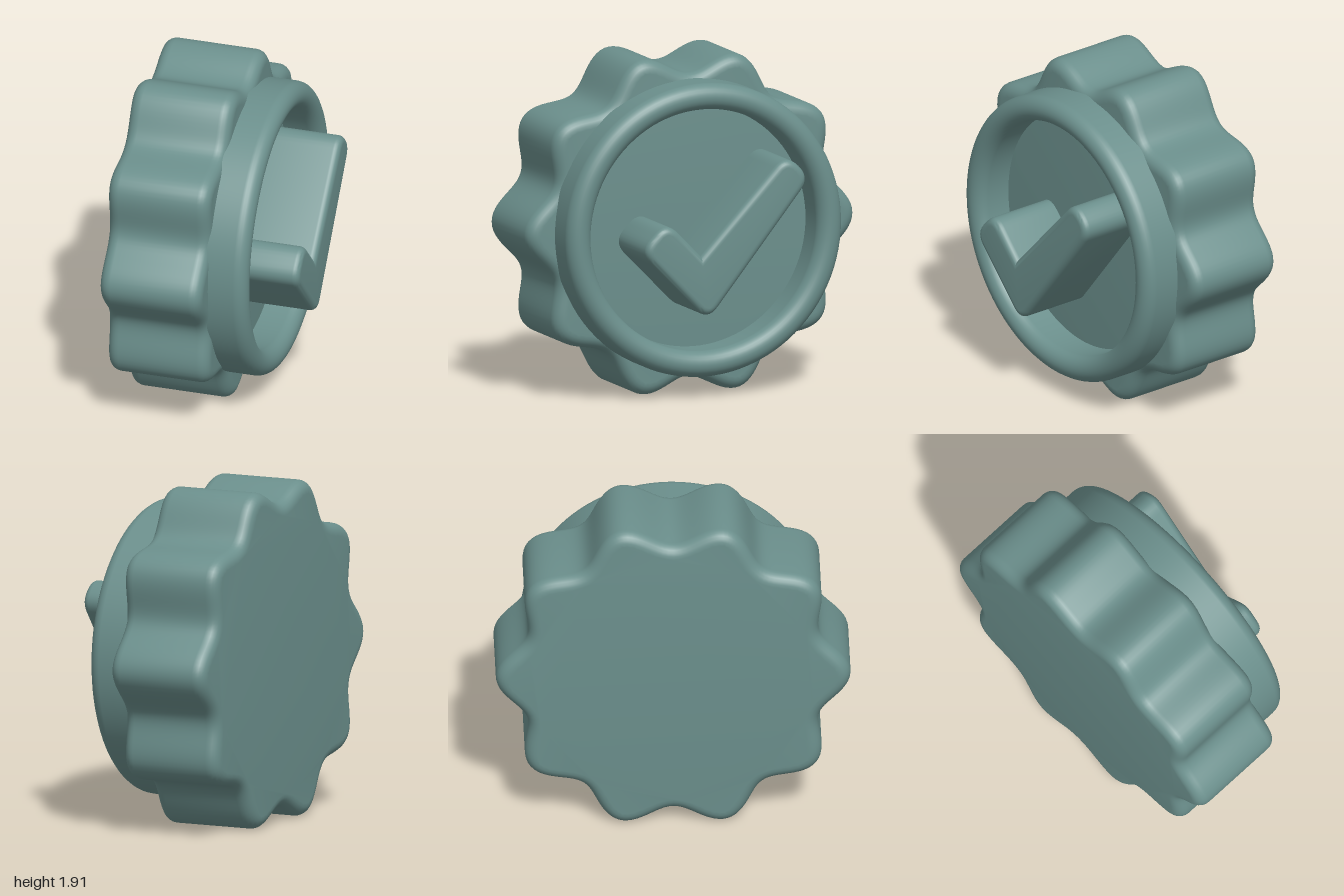
import * as THREE from 'three';
import { toCreasedNormals } from 'three/addons/utils/BufferGeometryUtils.js';

const CENTRE_Y = 0.955;

// Extrudes a shape with rounded rims so that it spans x0..x1 and faces +x
function extrudeAlongX(shape, x0, x1, bevel) {
  const geo = new THREE.ExtrudeGeometry(shape, {
    depth: x1 - x0 - 2 * bevel, curveSegments: 8,
    bevelThickness: bevel, bevelSize: bevel, bevelOffset: -bevel, bevelSegments: 6,
  });
  geo.translate(0, 0, x0 + bevel).rotateY(Math.PI / 2);
  return toCreasedNormals(geo, 0.7);
}

// Closed polygon whose corners are rounded off over the distance cut
function roundedPolygon(corners) {
  const shape = new THREE.Shape();
  const n = corners.length;
  const pts = corners.map(([x, y]) => new THREE.Vector2(x, y));
  pts.forEach((p, i) => {
    const cut = corners[i][2];
    const toward = (q) => q.clone().sub(p).setLength(cut).add(p);
    const a = toward(pts[(i + n - 1) % n]);
    const b = toward(pts[(i + 1) % n]);
    if (i === 0) shape.moveTo(a.x, a.y);
    else shape.lineTo(a.x, a.y);
    if (cut > 0) shape.quadraticCurveTo(p.x, p.y, b.x, b.y);
  });
  shape.closePath();
  return shape;
}

export function createModel() {
  const group = new THREE.Group();
  const material = new THREE.MeshStandardMaterial({ color: 0x6b8f8c });
  material.name = 'grey teal';

  const add = (name, geo, y) => {
    const mesh = new THREE.Mesh(geo, material);
    mesh.name = name;
    mesh.position.y = y;
    group.add(mesh);
  };

  // Badge body with ten scalloped lobes
  const outline = [];
  const steps = 240;
  for (let i = 0; i < steps; i++) {
    const a = (i / steps) * Math.PI * 2;
    const r = 0.933 + 0.067 * Math.cos(10 * a);
    outline.push(new THREE.Vector2(r * Math.cos(a), r * Math.sin(a)));
  }
  add('scallopedBadge', extrudeAlongX(new THREE.Shape(outline), -0.51, 0.09, 0.07), CENTRE_Y);

  // Raised rim: straight walls with a half-round crest
  const inner = 0.69, outer = 0.84;
  const half = (outer - inner) / 2;
  const profile = [new THREE.Vector2(outer, 0)];
  for (let i = 0; i <= 14; i++) {
    const a = (i / 14) * Math.PI;
    profile.push(new THREE.Vector2(inner + half + half * Math.cos(a), 0.235 + half * Math.sin(a)));
  }
  profile.push(new THREE.Vector2(inner, 0.05));
  add('rim', new THREE.LatheGeometry(profile, 96).rotateZ(-Math.PI / 2), CENTRE_Y);

  // Check mark, each corner as across, up, rounding
  const check = roundedPolygon([
    [-0.485, 0.895, 0.1], [-0.07, 0.475, 0.1], [0.559, 1.26, 0.1],
    [0.408, 1.4, 0.1], [-0.11, 0.85, 0], [-0.32, 1.065, 0.1],
  ]);
  add('checkMark', extrudeAlongX(check, 0.02, 0.505, 0.04), 0);

  return group;
}
